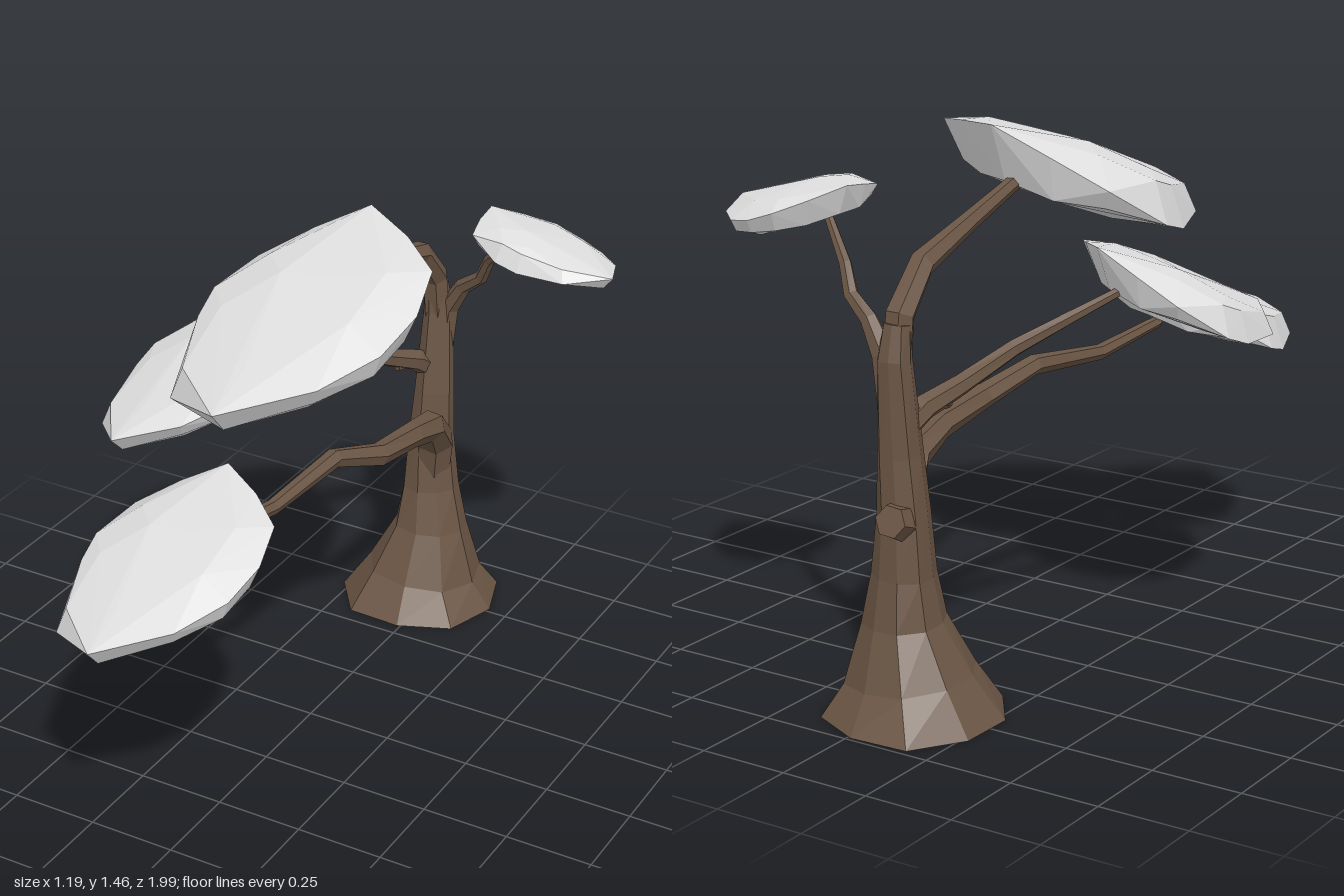
import * as THREE from 'three';
import { ConvexGeometry } from 'three/addons/geometries/ConvexGeometry.js';

// Faceted limb swept through [x, y, z, radius] stations, closed at the tip and, unless rooted, at the start
function limbGeometry(stations, sides, wobble = 0) {
  const centres = stations.map(s => new THREE.Vector3(s[0], s[1], s[2]));
  const up = new THREE.Vector3(0, 1, 0);
  const pos = [], idx = [], last = centres.length - 1;
  centres.forEach((c, k) => {
    const dir = centres[Math.min(k + 1, last)].clone().sub(centres[Math.max(k - 1, 0)]).normalize();
    if (k === 0 && wobble) dir.copy(up); // keep the root flat on the ground
    const q = new THREE.Quaternion().setFromUnitVectors(up, dir);
    for (let i = 0; i < sides; i++) {
      const t = (i / sides) * Math.PI * 2 + k * wobble;
      const r = stations[k][3] * (1 + wobble * Math.sin(i * 2.4 + k * 0.5));
      pos.push(...new THREE.Vector3(Math.cos(t) * r, 0, Math.sin(t) * r).applyQuaternion(q).add(c).toArray());
    }
  });
  const bottom = pos.length / 3;
  pos.push(...centres[0].toArray(), ...centres[last].toArray());
  for (let i = 0; i < sides; i++) {
    const j = (i + 1) % sides;
    for (let k = 0; k < last; k++) {
      const a = k * sides + i, b = k * sides + j;
      idx.push(a, a + sides, b, b, a + sides, b + sides);
    }
    if (!wobble) idx.push(bottom, i, j);
    idx.push(bottom + 1, last * sides + j, last * sides + i);
  }
  let g = new THREE.BufferGeometry();
  g.setAttribute('position', new THREE.Float32BufferAttribute(pos, 3));
  g.setIndex(idx);
  g = g.toNonIndexed();
  g.computeVertexNormals();
  return g;
}

// Plan outline of a foliage pad, pointed towards +z
const OUTLINE = [
  [0, -0.43], [0.165, -0.33], [0.3, -0.215], [0.338, -0.06], [0.32, 0.1], [0.23, 0.27],
  [0.015, 0.425], [-0.21, 0.27], [-0.31, 0.03], [-0.335, -0.1], [-0.285, -0.31], [-0.15, -0.38],
];

// Foliage pad: convex hull of stacked outlines, then leaned along x and z
function padGeometry({ scale, turn, lean }) {
  const pts = [];
  const ring = (size, height, step, start, slope = 0) => {
    for (let i = start; i < OUTLINE.length; i += step) {
      const s = size * (1 + 0.05 * Math.sin(i * 5.3 + height * 40));
      const x = OUTLINE[i][0] * s, z = OUTLINE[i][1] * s;
      const y = height - 0.14 * x + slope * z + 0.008 * Math.sin(i * 3.7 + size * 9);
      pts.push(new THREE.Vector3(x, y, z));
    }
  };
  OUTLINE.forEach(([x, z]) => pts.push(new THREE.Vector3(x, 0.5 * z * z, z)));
  ring(0.88, -0.018, 1, 0, 0.1);
  ring(0.68, -0.048, 2, 1);
  ring(0.35, -0.066, 3, 0);
  ring(0.86, 0.07, 2, 1);
  ring(0.84, 0.07, 4, 0);
  ring(0.64, 0.1, 2, 0);
  ring(0.3, 0.113, 3, 1);
  const axis = new THREE.Vector3(0, 1, 0);
  pts.forEach(p => {
    p.multiplyScalar(scale).applyAxisAngle(axis, turn);
    p.y += lean[0] * p.x + lean[1] * p.z;
  });
  return new ConvexGeometry(pts);
}

export function createModel() {
  // Double-sided because the trunk is open underneath
  const bark = new THREE.MeshStandardMaterial({ color: 0x6b5645, side: THREE.DoubleSide });
  bark.name = 'bark';
  const leaf = new THREE.MeshStandardMaterial({ color: 0xe0e0e0 });
  leaf.name = 'foliage';

  const group = new THREE.Group();
  group.name = 'tree';
  const add = (name, geometry, material) => {
    const mesh = new THREE.Mesh(geometry, material);
    mesh.name = name;
    group.add(mesh);
    return mesh;
  };

  // Flared trunk
  add('trunk', limbGeometry([
    [-0.05, 0, -0.765, 0.24], [-0.04, 0.1, -0.765, 0.17], [-0.025, 0.25, -0.77, 0.108],
    [-0.03, 0.38, -0.775, 0.083], [-0.035, 0.55, -0.78, 0.068], [-0.03, 0.7, -0.785, 0.06],
    [-0.03, 0.95, -0.803, 0.046], [-0.035, 1.04, -0.795, 0.036],
  ], 9, 0.05), bark);

  // Branches, each ending inside its foliage pad
  const branches = {
    topBranch: [[-0.03, 0.9, -0.8, 0.04], [-0.035, 1.06, -0.785, 0.04], [-0.035, 1.17, -0.69, 0.035],
      [-0.03, 1.235, -0.48, 0.026], [-0.02, 1.3, -0.25, 0.021], [0, 1.32, -0.12, 0.013]],
    lowBranch: [[-0.02, 0.38, -0.77, 0.05], [0.0, 0.55, -0.745, 0.058], [0.035, 0.65, -0.64, 0.047],
      [0.05, 0.69, -0.5, 0.038], [0.05, 0.72, -0.3, 0.034], [0.0, 0.775, -0.13, 0.028],
      [-0.03, 0.75, 0.155, 0.022], [-0.06, 0.785, 0.42, 0.017]],
    rightBranch: [[-0.04, 0.76, -0.79, 0.034], [-0.06, 0.81, -0.72, 0.034], [-0.1, 0.85, -0.62, 0.028],
      [-0.16, 0.92, -0.47, 0.023], [-0.25, 0.985, -0.36, 0.018], [-0.34, 1.05, -0.22, 0.013]],
    leftBranch: [[-0.02, 0.8, -0.805, 0.036], [0.0, 0.96, -0.81, 0.032], [0.05, 1.04, -0.8, 0.024],
      [0.115, 1.09, -0.785, 0.02], [0.15, 1.16, -0.76, 0.017], [0.25, 1.27, -0.7, 0.012]],
    rightTwig: [[-0.05, 0.8, -0.76, 0.024], [-0.07, 0.815, -0.7, 0.021], [-0.085, 0.81, -0.65, 0.015]],
  };
  for (const [name, path] of Object.entries(branches)) add(name, limbGeometry(path, 6), bark);

  // Cut stub at the back
  add('cutStub', limbGeometry([
    [-0.04, 0.51, -0.78, 0.045], [-0.055, 0.54, -0.84, 0.05], [-0.06, 0.55, -0.875, 0.043],
  ], 6), bark);

  // Foliage pads
  const pads = {
    topFoliage: { at: [0, 1.24, 0.1], scale: 1, turn: 0, lean: [0.3, -0.3] },
    lowFoliage: { at: [-0.075, 0.765, 0.655], scale: 0.815, turn: 0, lean: [0.3, -0.3] },
    rightFoliage: { at: [-0.37, 0.975, 0.02], scale: 0.725, turn: -0.25, lean: [0.42, -0.3] },
    leftFoliage: { at: [0.385, 1.26, -0.66], scale: 0.515, turn: 1.3, lean: [-0.2, 0.02] },
  };
  for (const [name, pad] of Object.entries(pads)) {
    add(name, padGeometry(pad), leaf).position.set(...pad.at);
  }
  return group;
}
